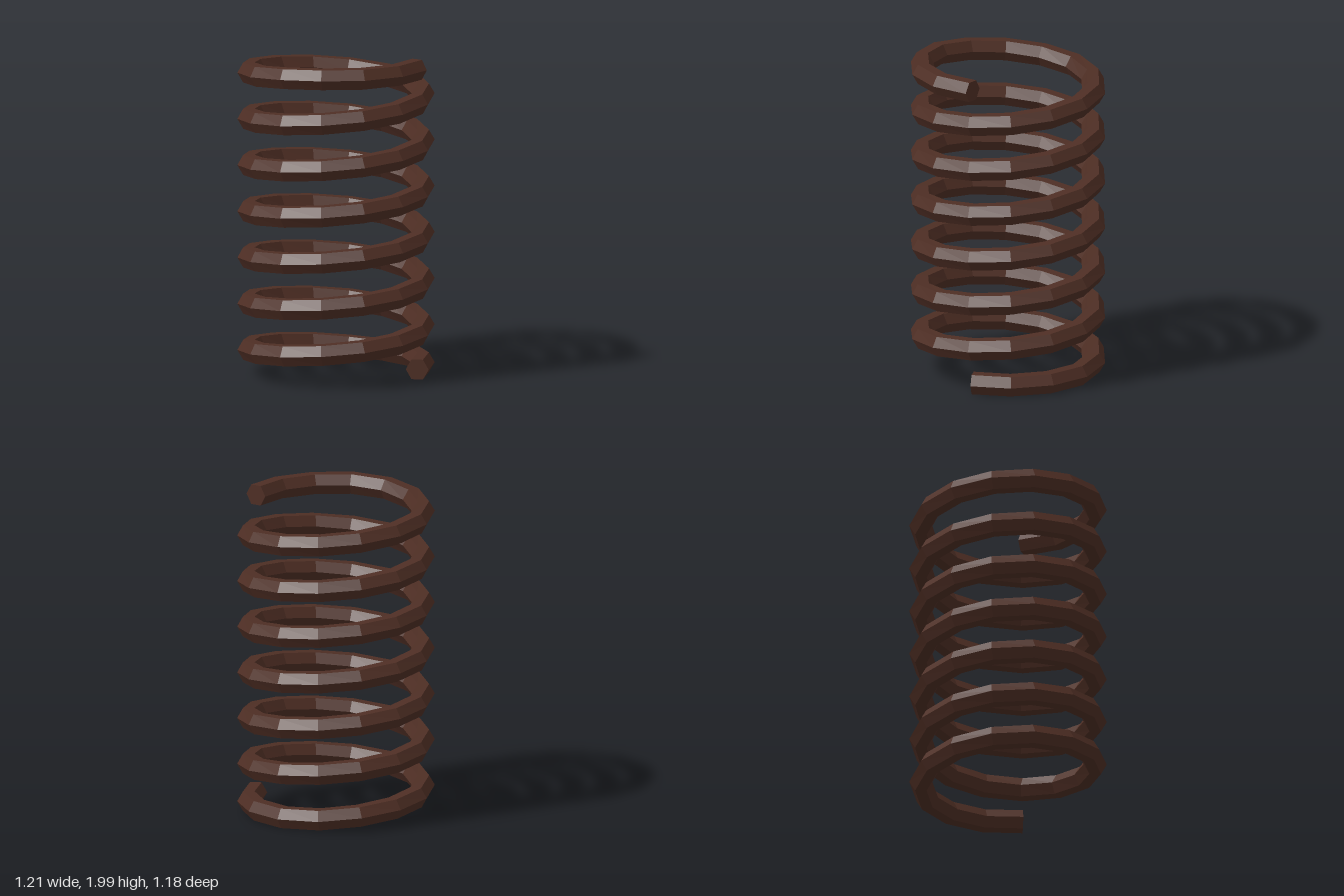
import * as THREE from 'three';

const TURNS = 7, STEPS = 14, SIDES = 6;   // coil turns, segments per turn, sides of the wire
const COIL_R = 0.534, WIRE_R = 0.071;
const Y_LOW = 0.066, Y_HIGH = 1.937;

// Centre line: a helix whose first and last quarter turns lie flat
function centre(i) {
  const turn = i / STEPS;
  const f = THREE.MathUtils.clamp((turn - 0.25) / (TURNS - 0.5), 0, 1);
  const a = turn * Math.PI * 2;
  return new THREE.Vector3(COIL_R * Math.cos(a), Y_LOW + (Y_HIGH - Y_LOW) * f, -COIL_R * Math.sin(a));
}

function coilGeometry() {
  const count = TURNS * STEPS;
  const pos = [], index = [];
  const up = new THREE.Vector3(0, 1, 0);

  // Hexagonal cross-sections set square to the wire
  for (let i = 0; i <= count; i++) {
    const c = centre(i);
    const t = centre(Math.min(i + 1, count)).sub(centre(Math.max(i - 1, 0))).normalize();
    const out = new THREE.Vector3().crossVectors(t, up).normalize();
    const top = new THREE.Vector3().crossVectors(out, t).normalize();
    for (let j = 0; j < SIDES; j++) {
      const a = (j / SIDES) * Math.PI * 2;
      const p = c.clone()
        .addScaledVector(out, WIRE_R * Math.cos(a))
        .addScaledVector(top, WIRE_R * Math.sin(a));
      pos.push(p.x, p.y, p.z);
    }
  }

  // Wire surface
  for (let i = 0; i < count; i++) {
    for (let j = 0; j < SIDES; j++) {
      const k = (j + 1) % SIDES;
      const a = i * SIDES + j, b = i * SIDES + k;
      index.push(a, a + SIDES, b, a + SIDES, b + SIDES, b);
    }
  }

  // Cut ends
  const last = count * SIDES;
  for (let j = 1; j < SIDES - 1; j++) {
    index.push(0, j, j + 1);
    index.push(last, last + j + 1, last + j);
  }

  const geo = new THREE.BufferGeometry();
  geo.setAttribute('position', new THREE.Float32BufferAttribute(pos, 3));
  geo.setIndex(index);
  const flat = geo.toNonIndexed();
  flat.computeVertexNormals();
  return flat;
}

export function createModel() {
  const group = new THREE.Group();
  group.name = 'coilSpring';

  const brown = new THREE.MeshStandardMaterial({ color: 0x4e2e24, flatShading: true });
  brown.name = 'dark brown';

  const coil = new THREE.Mesh(coilGeometry(), brown);
  coil.name = 'coil';
  group.add(coil);
  return group;
}
